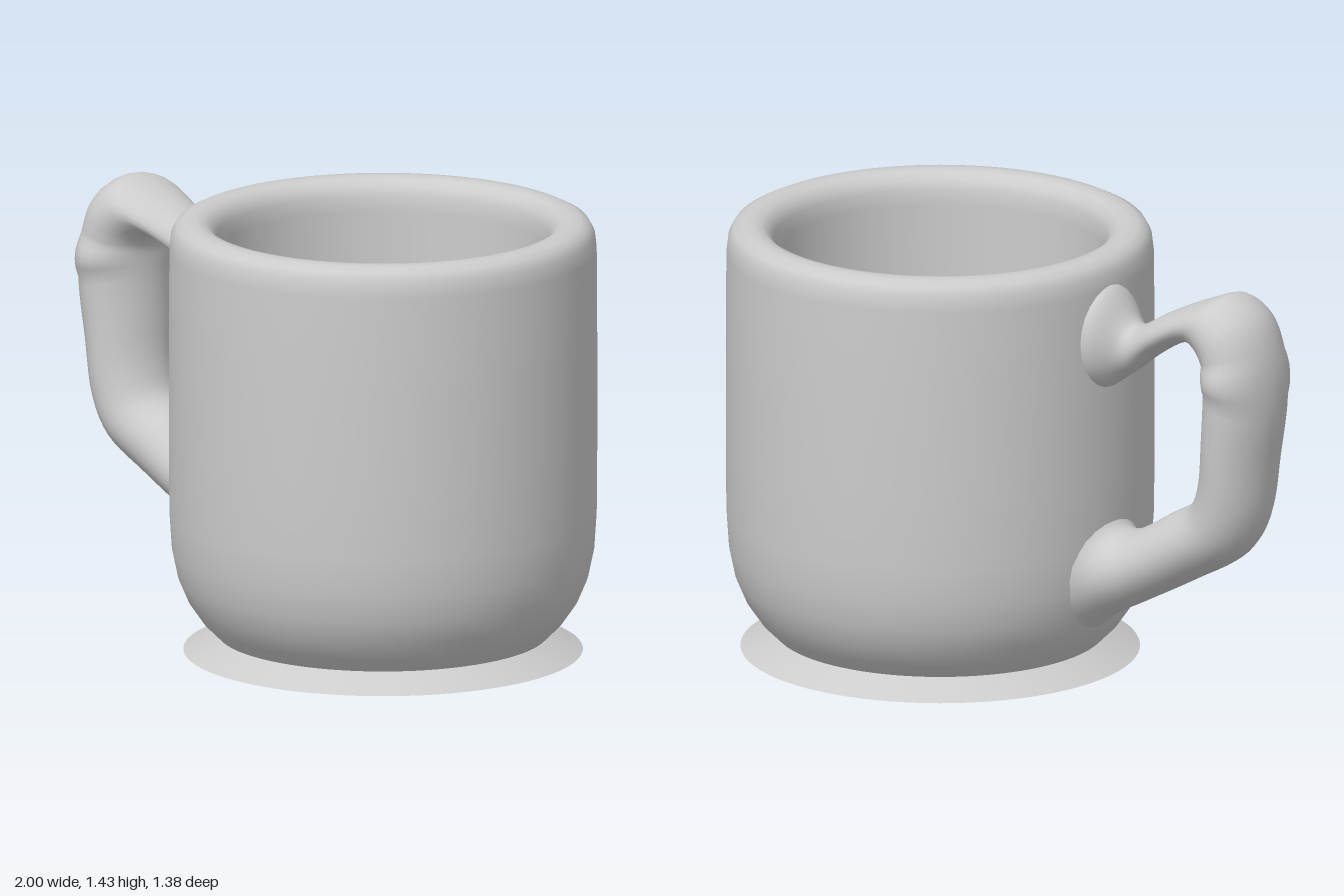
import * as THREE from 'three';

const glaze = new THREE.MeshStandardMaterial({ color: 0xcccccc });
glaze.name = 'grey glaze';
const glazeThin = new THREE.MeshStandardMaterial({ color: 0xcccccc, side: THREE.DoubleSide });
glazeThin.name = 'grey glaze, thin foot';

const lathe = (name, points, material = glaze) => {
  const profile = points.map(([r, y]) => new THREE.Vector2(r, y));
  const mesh = new THREE.Mesh(new THREE.LatheGeometry(profile, 80), material);
  mesh.name = name;
  mesh.position.x = 0.31;
  return mesh;
};

// Lofts elliptical sections: [outer x, outer y, inner x, inner y, half width, centre z]
function loft(sections, steps, sides) {
  const curve = (f) => new THREE.CatmullRomCurve3(sections.map(f));
  const outer = curve((s) => new THREE.Vector3(s[0], s[1], s[5]));
  const inner = curve((s) => new THREE.Vector3(s[2], s[3], s[5]));
  const width = curve((s) => new THREE.Vector3(s[4], 0, 0));
  const positions = [], index = [];
  for (let k = 0; k <= steps; k++) {
    const o = outer.getPoint(k / steps), i = inner.getPoint(k / steps);
    const w = width.getPoint(k / steps).x;
    for (let j = 0; j < sides; j++) {
      const t = (j / sides) * Math.PI * 2;
      const p = i.clone().lerp(o, 0.5 + 0.5 * Math.cos(t));
      positions.push(p.x, p.y, p.z + w * Math.sin(t));
      if (k === steps) continue;
      const a = k * sides + j, b = k * sides + ((j + 1) % sides);
      index.push(a, b, a + sides, b, b + sides, a + sides);
    }
  }
  const g = new THREE.BufferGeometry();
  g.setAttribute('position', new THREE.Float32BufferAttribute(positions, 3));
  g.setIndex(index);
  g.computeVertexNormals();
  return g;
}

export function createModel() {
  const mug = new THREE.Group();
  mug.name = 'mug';

  // Outer wall, rounded rim and straight inner wall
  mug.add(lathe('body', [
    [0.535, 0.055], [0.585, 0.105], [0.63, 0.17], [0.662, 0.245], [0.682, 0.34], [0.69, 0.46],
    [0.692, 0.7], [0.692, 1.0], [0.69, 1.33], [0.684, 1.38], [0.668, 1.41], [0.64, 1.424],
    [0.605, 1.427], [0.575, 1.42], [0.552, 1.4], [0.539, 1.37], [0.535, 1.32], [0.534, 0.7], [0.533, 0.06],
  ]));
  mug.add(lathe('insideFloor', [[0.533, 0.06], [0, 0.06]]));
  mug.add(lathe('underside', [[0, 0.055], [0.535, 0.055]]));

  // Thin flared foot, open underneath
  mug.add(lathe('footRing', [[0.645, 0], [0.535, 0.055]], glazeThin));

  // Handle, from the lower joint round to the flared upper joint
  const handle = new THREE.Mesh(loft([
    [-0.28, 0.14, -0.33, 0.62, 0.22, 0],
    [-0.39, 0.23, -0.395, 0.53, 0.165, 0],
    [-0.5, 0.29, -0.46, 0.525, 0.145, 0.01],
    [-0.7, 0.4, -0.6, 0.605, 0.14, 0.03],
    [-0.87, 0.505, -0.7, 0.67, 0.145, 0.04],
    [-0.94, 0.62, -0.735, 0.76, 0.15, 0.04],
    [-0.975, 0.82, -0.755, 0.92, 0.16, 0.035],
    [-1, 1.03, -0.765, 1.08, 0.17, 0.035],
    [-0.985, 1.2, -0.76, 1.15, 0.17, 0.035],
    [-0.935, 1.32, -0.735, 1.185, 0.165, 0.035],
    [-0.84, 1.38, -0.7, 1.2, 0.15, 0.035],
    [-0.75, 1.355, -0.65, 1.19, 0.13, 0.03],
    [-0.6, 1.285, -0.55, 1.13, 0.1, 0.015],
    [-0.49, 1.225, -0.48, 1.07, 0.08, 0],
    [-0.46, 1.24, -0.445, 1.045, 0.09, 0],
    [-0.39, 1.335, -0.39, 1.005, 0.14, -0.01],
    [-0.33, 1.35, -0.33, 0.98, 0.15, -0.01],
  ], 80, 24), glaze);
  handle.name = 'handle';
  mug.add(handle);

  return mug;
}
